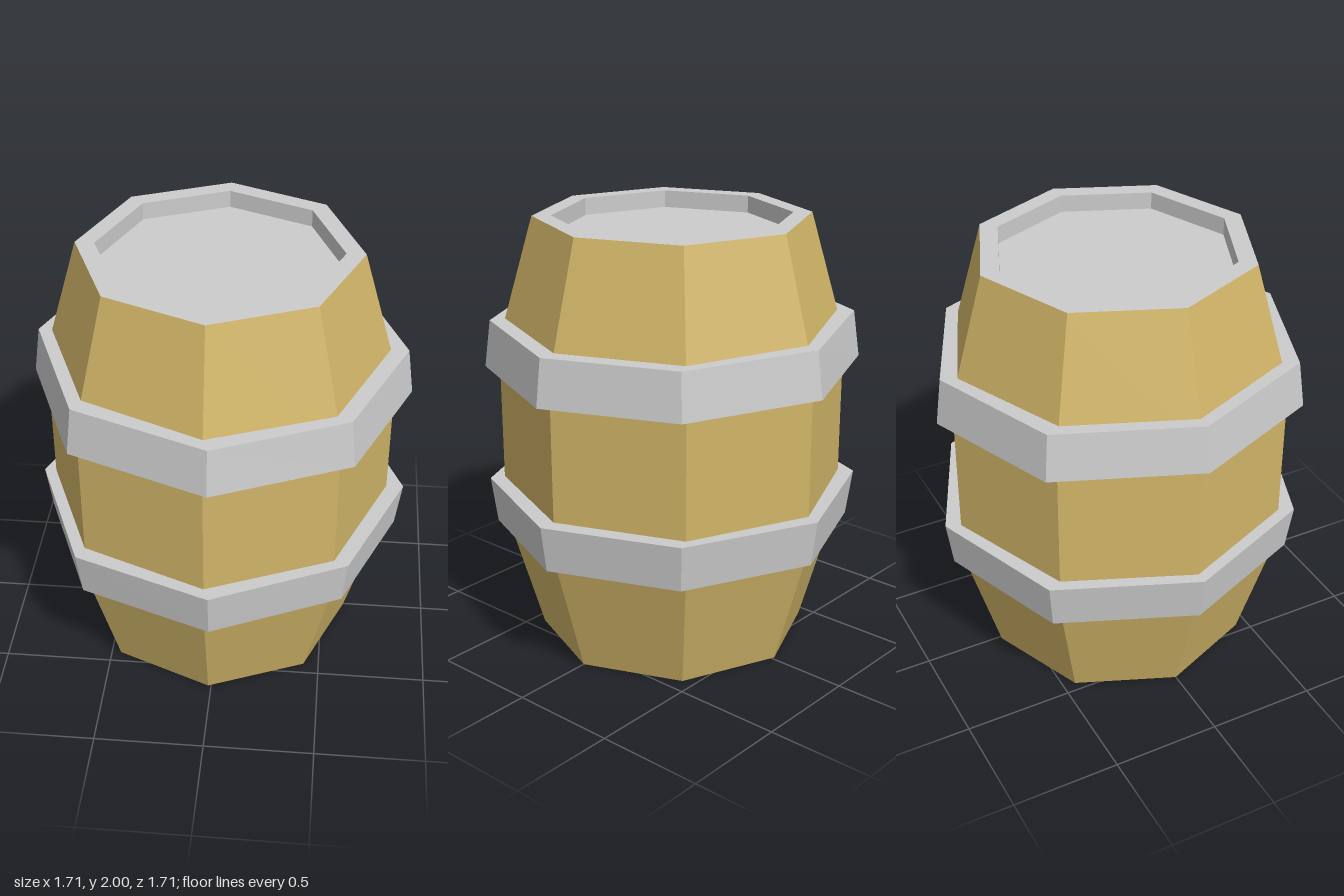
import * as THREE from 'three';

const SIDES = 8;

export function createModel() {
  const barrel = new THREE.Group();
  barrel.name = 'barrel';
  const wood = new THREE.MeshStandardMaterial({ color: 0xd1b568, flatShading: true });
  const metal = new THREE.MeshStandardMaterial({ color: 0xcccccc, flatShading: true });

  // Turns a profile of [radius, y] pairs, listed so that the outside lies on the right
  const turn = (name, profile, material, parent) => {
    const points = profile.map(([r, y]) => new THREE.Vector2(r, y));
    const mesh = new THREE.Mesh(new THREE.LatheGeometry(points, SIDES), material);
    mesh.name = name;
    parent.add(mesh);
    return mesh;
  };

  // Body: wooden staves with a recessed lid at each end
  const body = new THREE.Group();
  body.name = 'body';
  body.position.x = -0.014;
  barrel.add(body);
  turn('staves', [[0.625, 0], [0.79, 0.575], [0.79, 1.425], [0.625, 2]], wood, body);
  turn('topLid', [[0.625, 2], [0.54, 2], [0.54, 1.92], [0, 1.92]], metal, body);
  turn('bottomLid', [[0, 0.08], [0.54, 0.08], [0.54, 0], [0.625, 0]], metal, body);

  // Hoops: slightly tilted and uneven, wider towards the barrel's middle
  const addHoop = (name, bottomY, topY, bottomR, topR, tilt) => {
    const profile = [[0.74, bottomY], [bottomR, bottomY], [topR, topY], [0.74, topY]];
    const hoop = turn(name, profile, metal, barrel);
    const p = hoop.geometry.attributes.position;
    for (let i = 0; i < p.count; i++) {
      const x = p.getX(i);
      p.setXYZ(i, x + 0.014 * (1 - Math.abs(x)) - 0.004, p.getY(i) + tilt * x, p.getZ(i) * (1 - 0.05 * x));
    }
    hoop.geometry.computeVertexNormals();
  };
  addHoop('upperHoop', 1.325, 1.54, 0.857, 0.828, -0.012);
  addHoop('lowerHoop', 0.547, 0.762, 0.828, 0.857, 0.009);

  return barrel;
}
